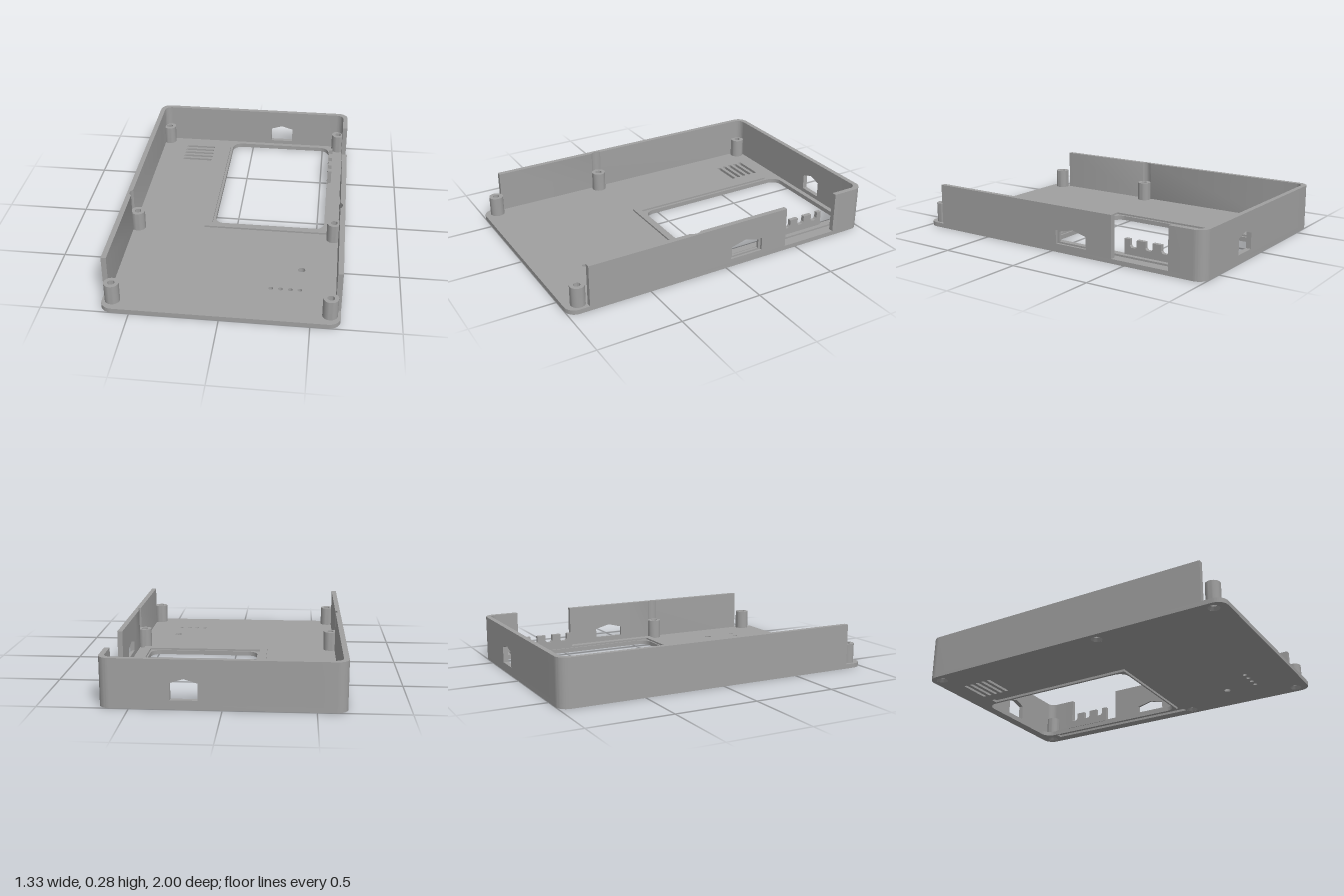
import * as THREE from 'three';
import { toCreasedNormals } from 'three/addons/utils/BufferGeometryUtils.js';

const W = 0.665, T = 0.03, FLOOR = 0.027, TOP = 0.277, FRONT = 0.875;
const POST_X = 0.606, POST_R = 0.043;

export function createModel() {
  const model = new THREE.Group();
  const grey = new THREE.MeshStandardMaterial({ color: 0xa0a0a0 });
  grey.name = 'grey plastic';

  const add = (name, geometry) => {
    const mesh = new THREE.Mesh(toCreasedNormals(geometry, 0.6), grey);
    mesh.name = name;
    model.add(mesh);
    return mesh;
  };
  const extrude = (shape, depth) =>
    new THREE.ExtrudeGeometry(shape, { depth, bevelEnabled: false, curveSegments: 10 });
  // Plan shapes are drawn with shape y = -z and rise from y0 to y1
  const plan = (name, shape, y0, y1) =>
    add(name, extrude(shape, y1 - y0).rotateX(-Math.PI / 2).translate(0, y0, 0));
  // Side shapes are drawn with shape x = -z and grow towards +x from x0
  const side = (name, shape, x0, depth) =>
    add(name, extrude(shape, depth).rotateY(Math.PI / 2).translate(x0, 0, 0));

  const polygon = (points, Type = THREE.Shape) =>
    new Type(points.map(([x, y]) => new THREE.Vector2(x, y)));
  const rect = (x0, y0, x1, y1) => polygon([[x0, y0], [x1, y0], [x1, y1], [x0, y1]]);
  const rounded = (x0, y0, x1, y1, r, Type = THREE.Path) => {
    const p = new Type();
    p.absarc(x1 - r, y1 - r, r, 0, Math.PI / 2);
    p.absarc(x0 + r, y1 - r, r, Math.PI / 2, Math.PI);
    p.absarc(x0 + r, y0 + r, r, Math.PI, Math.PI * 1.5);
    p.absarc(x1 - r, y0 + r, r, Math.PI * 1.5, Math.PI * 2);
    p.closePath();
    return p;
  };
  const circle = (x, z, r) => new THREE.Path().absarc(x, -z, r, 0, Math.PI * 2);
  // Five-sided port opening with a low peak
  const port = (x0, x1, y0, eave, peak) => polygon(
    [[x0, y0], [x1, y0], [x1, eave], [(x0 + x1) / 2, peak], [x0, eave]], THREE.Path);

  const posts = [];
  for (const x of [-POST_X, POST_X]) for (const z of [-0.93, 0.195, 0.92]) posts.push([x, z]);

  // Floor with screen window, screen groove, vents, lamp holes and screw holes
  const frame = [[-0.2, 0.86], [-0.2, -0.152], [0.6, -0.152], [0.6, 0.86],
    [0.555, 0.86], [0.555, -0.11], [-0.155, -0.11], [-0.155, 0.86]];
  const floor = rounded(-W, -1, W, 1, 0.065, THREE.Shape);
  floor.holes.push(rounded(-0.14, -0.1, 0.545, 0.94, 0.065), polygon(frame, THREE.Path));
  for (let i = 0; i < 5; i++) {
    const y = 0.86 - i * 0.0443;
    floor.holes.push(rounded(-0.47, y - 0.011, -0.27, y + 0.011, 0.0105));
  }
  floor.holes.push(circle(0.43, 0.53, 0.021));
  for (let i = 0; i < 4; i++) floor.holes.push(circle(0.265 + i * 0.055, 0.72, 0.013));
  for (const [x, z] of posts) floor.holes.push(circle(x, z, 0.034));
  plan('floor', floor, 0, FLOOR);
  plan('screenFrame', polygon(frame), 0.015, 0.038);

  // Hollow screw posts, countersunk underneath
  const profile = [[0.034, 0], [0.034, FLOOR], [POST_R, FLOOR], [POST_R, 0.147],
    [0.02, 0.147], [0.02, 0.02], [0.034, 0]].map(([r, y]) => new THREE.Vector2(r, y));
  for (const [x, z] of posts) {
    add('screwPost', new THREE.LatheGeometry(profile, 32)).position.set(x, 0, z);
  }

  // Side wall run in plan, with a clearance groove beside the middle post
  const wallRun = (s, zBack) => {
    const inner = W - T, reach = Math.sqrt(POST_R ** 2 - (inner - POST_X) ** 2);
    const points = [[s * W, -FRONT], [s * W, -zBack], [s * inner, -zBack]];
    const a = Math.atan2(reach, inner - POST_X);
    for (let i = 0; i <= 10; i++) {
      const t = a - (2 * a * i) / 10;
      points.push([s * (POST_X + POST_R * Math.cos(t)), -0.195 + POST_R * Math.sin(t)]);
    }
    points.push([s * inner, -FRONT]);
    return polygon(points);
  };
  plan('rightWall', wallRun(-1, -0.785), FLOOR, TOP);
  plan('leftWallFront', wallRun(1, 0), FLOOR, TOP);

  // Left wall panel: port opening with a wider recess on the outside
  const layers = [
    ['leftWallInner', W - T, port(0.047, 0.232, 0.06, 0.118, 0.142)],
    ['leftWallOuter', W - T / 2, port(0.032, 0.248, 0.05, 0.13, 0.155)],
  ];
  for (const [name, x, opening] of layers) {
    const panel = rect(0, FLOOR, 0.42, TOP);
    panel.holes.push(opening);
    side(name, panel, x, T / 2);
  }

  // Rounded back corners
  for (const s of [-1, 1]) {
    const corner = new THREE.Shape();
    corner.moveTo(s * 0.5, 1);
    corner.lineTo(s * 0.6, 1);
    corner.quadraticCurveTo(s * 0.646, 0.981, s * W, 0.935);
    corner.curves.pop();
    corner.currentPoint.set(s * 0.6, 1);
    corner.absarc(s * 0.6, 0.935, 0.065, Math.PI / 2, s > 0 ? 0 : Math.PI, s > 0);
    corner.lineTo(s * W, 0.785);
    corner.lineTo(s * (W - T), 0.785);
    corner.absarc(s * 0.59, 0.925, 0.045, s > 0 ? 0 : Math.PI, Math.PI / 2, s < 0);
    corner.lineTo(s * 0.5, 0.97);
    plan('backCorner', corner, FLOOR, TOP);
  }

  // Back wall with its port opening
  const back = rect(-0.5, FLOOR, 0.5, TOP);
  back.holes.push(port(0.13, 0.278, 0.052, 0.147, 0.17));
  add('backWall', extrude(back, T).translate(0, 0, -1));

  // Notched cable comb standing in the side wall gap
  const comb = new THREE.Shape();
  comb.moveTo(0.445, 0.03);
  comb.lineTo(0.76, 0.03);
  comb.lineTo(0.76, 0.128);
  for (const u of [0.707, 0.605, 0.503]) {
    comb.lineTo(u + 0.023, 0.128);
    comb.lineTo(u + 0.023, 0.092);
    comb.lineTo(u + 0.013, 0.08);
    comb.lineTo(u - 0.013, 0.08);
    comb.lineTo(u - 0.023, 0.092);
    comb.lineTo(u - 0.023, 0.128);
  }
  comb.lineTo(0.445, 0.128);
  side('cableComb', comb, 0.548, 0.024);

  return model;
}
